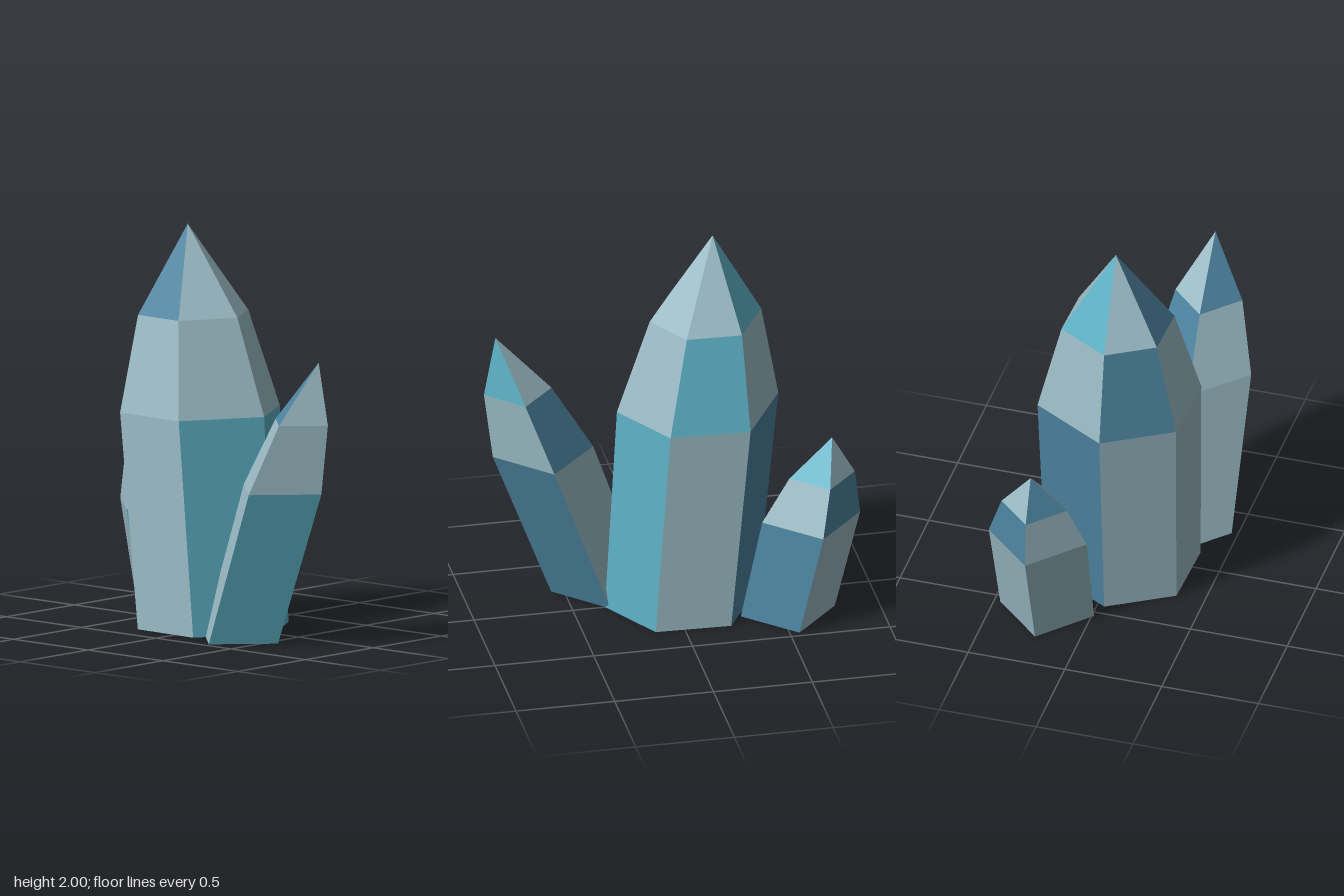
import * as THREE from 'three';

const makeMaterial = (name, color) => {
  const m = new THREE.MeshStandardMaterial({ color });
  m.name = name;
  return m;
};

// Builds a faceted crystal from rings [y, centreX, centreZ, radius]; the last ring is the tip.
// facets: one string per side, one letter per band from the base up.
function crystal(name, angles, rings, facets, materials) {
  const n = angles.length;
  const keys = Object.keys(materials);
  const geometry = new THREE.BufferGeometry();
  const positions = [];
  const point = ([y, cx, cz, r], i) => {
    const a = THREE.MathUtils.degToRad(angles[i % n]);
    return [cx + r * Math.cos(a), y, cz + r * Math.sin(a)];
  };
  const addFace = (key, ...triangles) => {
    geometry.addGroup(positions.length / 3, triangles.length * 3, keys.indexOf(key));
    triangles.flat().forEach((p) => positions.push(...p));
  };

  for (let i = 0; i < n; i++) {
    // side facets, band by band
    for (let k = 0; k < rings.length - 1; k++) {
      const a = point(rings[k], i), b = point(rings[k], i + 1);
      const c = point(rings[k + 1], i), d = point(rings[k + 1], i + 1);
      const isTip = k === rings.length - 2;
      if (isTip) addFace(facets[i][k], [b, a, c]);
      else addFace(facets[i][k], [b, a, c], [b, c, d]);
    }
    // underside
    const [y, cx, cz] = rings[0];
    addFace('t', [[cx, y, cz], point(rings[0], i), point(rings[0], i + 1)]);
  }
  geometry.setAttribute('position', new THREE.Float32BufferAttribute(positions, 3));
  geometry.computeVertexNormals();
  const mesh = new THREE.Mesh(geometry, keys.map((k) => materials[k]));
  mesh.name = name;
  return mesh;
}

export function createModel() {
  const materials = {
    g: makeMaterial('paleCrystal', 0x9cbcc6),
    t: makeMaterial('tealCrystal', 0x5cb0c4),
    b: makeMaterial('blueCrystal', 0x4d84a0),
  };
  const group = new THREE.Group();
  group.name = 'crystalCluster';

  // Facets run from the front right round through front, left and back
  const smallFacets = ['tgg', 'ggb', 'gbg', 'bgt'];

  group.add(
    crystal('mainCrystal', [-2.6, 62.5, 120.9, 177.4, 242.5, 300.9], [
      [0, -0.053, 0.02, 0.39],
      [1.08, -0.137, 0.025, 0.413],
      [1.56, -0.178, 0.03, 0.285],
      [2, -0.214, 0.03, 0],
    ], ['tgg', 'ggb', 'gbg', 'bgt', 'gtg', 'tgg'], materials),

    crystal('leaningCrystal', [-1, 89, 179, 269], [
      [0, 0.32, 0.225, 0.243],
      [0.78, 0.602, 0.23, 0.255],
      [1.13, 0.73, 0.23, 0.172],
      [1.44, 0.843, 0.23, 0],
    ], smallFacets, materials),

    crystal('shortCrystal', [-2, 88, 178, 268], [
      [0, -0.54, -0.228, 0.24],
      [0.52, -0.655, -0.243, 0.25],
      [0.75, -0.71, -0.245, 0.167],
      [0.955, -0.76, -0.248, 0],
    ], smallFacets, materials),
  );
  return group;
}
